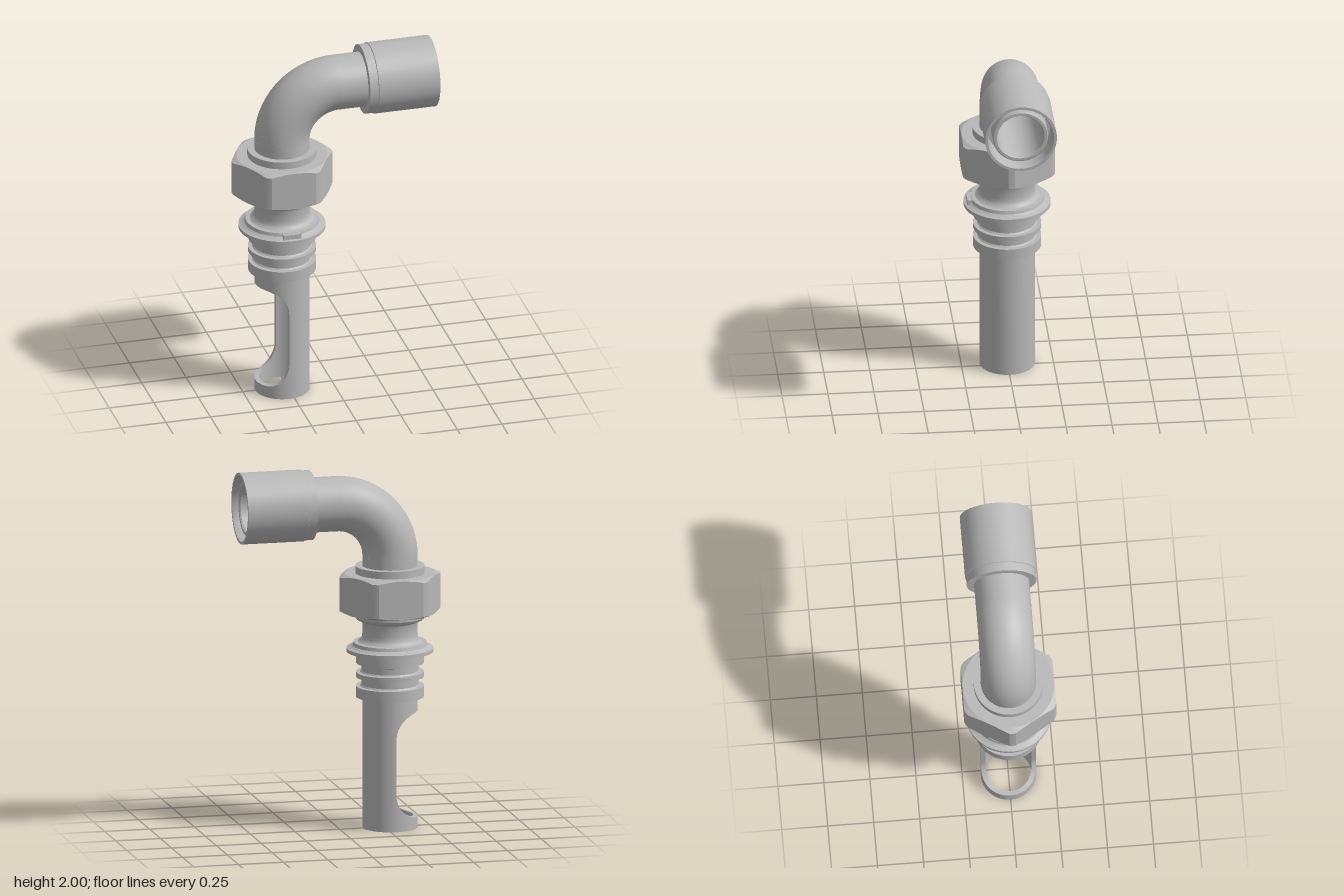
import * as THREE from 'three';
import { toCreasedNormals } from 'three/addons/utils/BufferGeometryUtils.js';

const AXIS_X = -0.28;   // vertical pipe axis
const ARM_Y = 1.805;    // horizontal pipe axis
const BEND = 0.3;       // centreline radius of the elbow
const RO = 0.15, RI = 0.125;

const steel = new THREE.MeshStandardMaterial({ color: 0xb8b8b8, side: THREE.DoubleSide });
steel.name = 'steel grey';

// Solid of revolution from [radius, height] pairs, sharp edges kept
function lathe(profile) {
  const pts = profile.map(([r, y]) => new THREE.Vector2(r, y));
  return toCreasedNormals(new THREE.LatheGeometry(pts, 72), 0.5);
}

// Skin joining a list of equally long cross-sections (each a list of [x, y, z])
function loft(sections, crease, capEnds) {
  const pos = [];
  const quad = (a, b, c, d) => pos.push(...a, ...b, ...c, ...a, ...c, ...d);
  const n = sections[0].length;
  for (let i = 0; i < sections.length - 1; i++) {
    for (let j = 0; j < n; j++) {
      const k = (j + 1) % n;
      quad(sections[i][j], sections[i][k], sections[i + 1][k], sections[i + 1][j]);
    }
  }
  if (capEnds) {
    const [a, b] = [sections[0], sections[sections.length - 1]];
    quad(a[3], a[2], a[1], a[0]);
    quad(b[0], b[1], b[2], b[3]);
  }
  const g = new THREE.BufferGeometry();
  g.setAttribute('position', new THREE.Float32BufferAttribute(pos, 3));
  return toCreasedNormals(g, crease);
}

// Arc of pipe wall whose lower and upper edges depend on the x offset
function pipeWall(a0, a1, low, high) {
  const sections = [];
  for (let i = 0; i <= 48; i++) {
    // points bunch up towards both ends, where the slot edge is steep
    const a = a0 + (a1 - a0) * (0.5 - 0.5 * Math.cos(Math.PI * i / 48));
    const p = (r, edge) => {
      const x = r * Math.cos(a);
      return [x, edge(x), r * Math.sin(a)];
    };
    sections.push([p(RO, low), p(RO, high), p(RI, high), p(RI, low)]);
  }
  return loft(sections, 0.6, true);
}

// Hexagonal nut with trimmed corners and chamfered ends
function hexNut(bottom, top, apothem, corner, bore) {
  const angles = [], radii = [];
  for (let side = 0; side < 6; side++) {
    for (const d of [-30, -26.4, -20, -13, -6, 0, 6, 13, 20, 26.4]) {
      const t = THREE.MathUtils.degToRad(d);
      angles.push(THREE.MathUtils.degToRad(30 + side * 60) + t);
      radii.push(Math.min(apothem / Math.cos(t), corner));
    }
  }
  const ring = (radius, height) => angles.map((a, i) => {
    const r = radius(radii[i]);
    return [r * Math.cos(a), height(radii[i]), -r * Math.sin(a)];
  });
  const drop = (r) => (r - apothem) * 0.45 + 0.001;
  return loft([
    ring(() => bore, () => bottom),
    ring(() => apothem - 0.002, () => bottom),
    ring((r) => r, (r) => bottom + drop(r)),
    ring((r) => r, (r) => top - drop(r)),
    ring(() => apothem - 0.002, () => top),
    ring(() => bore, () => top),
  ], 0.3, false);
}

export function createModel() {
  const model = new THREE.Group();
  const add = (name, geometry, x, y, z = 0) => {
    const m = new THREE.Mesh(geometry, steel);
    m.name = name;
    m.position.set(x, y, z);
    model.add(m);
    return m;
  };

  // Lower pipe with a round-cornered slot in its -x half
  const rc = 0.135, slotLow = 0.065, slotHigh = 0.645;
  const rise = (x) => {
    const d = Math.min(rc, Math.max(0, x + rc));
    return rc - Math.sqrt(rc * rc - d * d);
  };
  const floor = () => 0, ceiling = () => 0.74;
  const H = Math.PI / 2;
  add('slottedPipeBack', pipeWall(-H, H, floor, ceiling), AXIS_X, 0);
  add('slottedPipeFoot', pipeWall(H, 3 * H, floor, (x) => slotLow + rise(x)), AXIS_X, 0);
  add('slottedPipeHead', pipeWall(H, 3 * H, (x) => slotHigh - rise(x), ceiling), AXIS_X, 0);

  // Grooved plug, flange, neck and collar
  add('groovedBody', lathe([
    [RI, 0.725], [0.185, 0.725], [0.185, 0.785],
    [0.162, 0.785], [0.155, 0.793], [0.155, 0.828], [0.162, 0.835],
    [0.185, 0.835], [0.185, 0.862],
    [0.162, 0.862], [0.155, 0.87], [0.155, 0.905], [0.162, 0.912],
    [0.185, 0.912], [0.185, 0.975],
    [0.236, 0.975], [0.236, 0.995], [0.215, 1.0], [0.203, 1.01], [0.198, 1.028],
    [0.175, 1.03], [0.16, 1.04], [0.152, 1.055], [0.15, 1.075],
    [0.15, 1.13], [0.154, 1.142], [0.164, 1.15], [0.182, 1.155], [0.19, 1.168],
    [0.19, 1.2], [0.188, 1.2], [0.188, 1.45],
    [RO, 1.45], [RO, ARM_Y - BEND], [RI, ARM_Y - BEND], [RI, 0.725],
  ]), AXIS_X, 0);

  // Small locating tab on the front of the flange
  add('flangeTab', new THREE.BoxGeometry(0.1, 0.03, 0.05), AXIS_X, 1.01, 0.195);

  add('hexNut', hexNut(1.193, 1.41, 0.25, 0.28, 0.18), AXIS_X, 0);

  // Elbow, outer and inner skins
  for (const [name, r] of [['elbowOuter', RO], ['elbowBore', RI]]) {
    const g = new THREE.TorusGeometry(BEND, r, 48, 40, Math.PI / 2);
    g.rotateZ(Math.PI / 2);
    add(name, g, AXIS_X + BEND, ARM_Y - BEND);
  }

  // Horizontal pipe and the socket sleeve around its end
  const armPipe = add('armPipe', lathe([
    [RI, 0.02], [RO, 0.02], [RO, 0.525], [0.145, 0.53], [0.13, 0.53], [RI, 0.522], [RI, 0.02],
  ]), 0, ARM_Y);
  const sleeve = add('socketSleeve', lathe([
    [0.148, 0.165], [0.19, 0.165], [0.19, 0.213], [0.195, 0.215], [0.195, 0.557],
    [0.18, 0.557], [0.172, 0.535], [0.172, 0.42], [0.148, 0.42],
  ]), 0, ARM_Y);
  armPipe.rotation.z = sleeve.rotation.z = -Math.PI / 2;

  return model;
}
